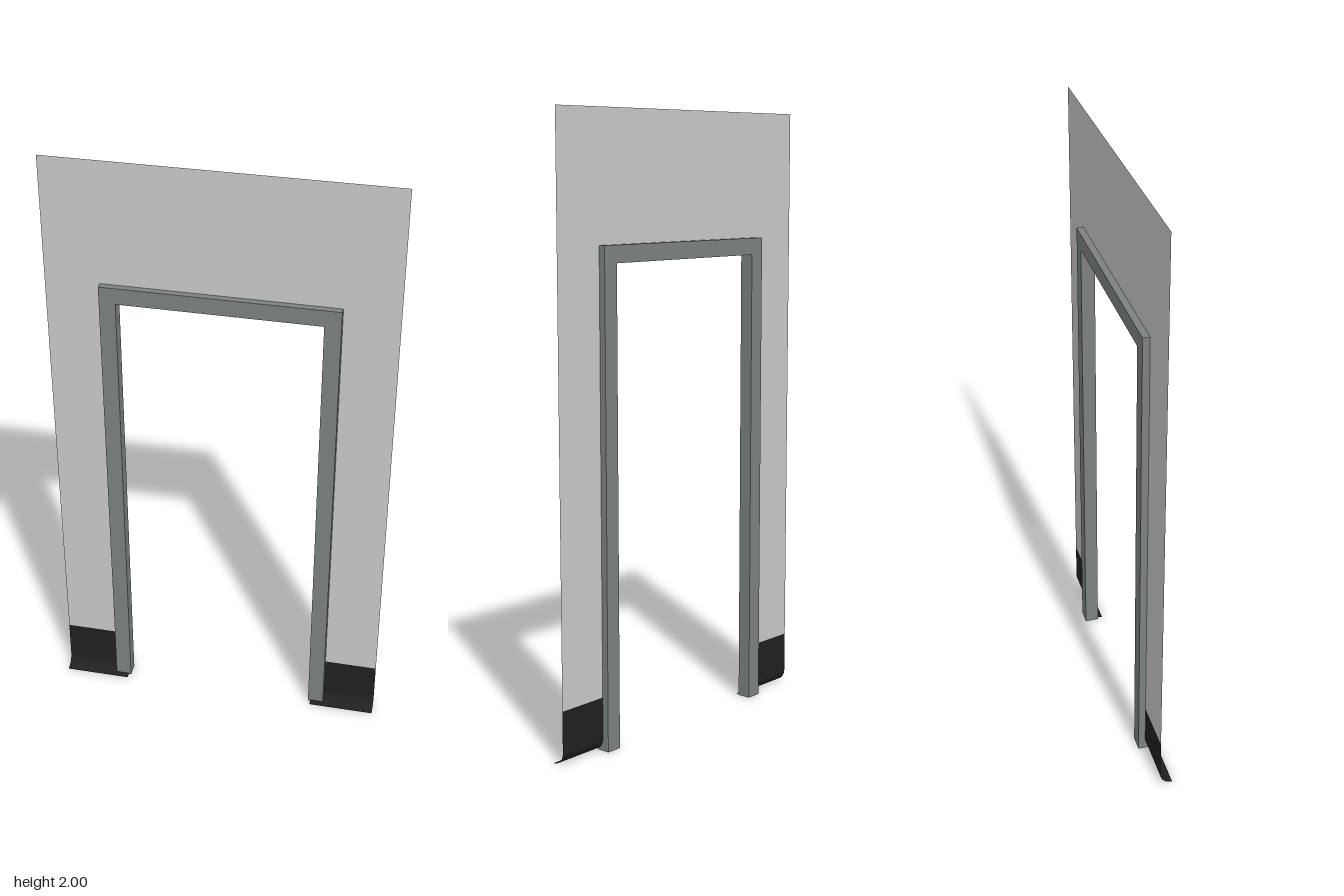
import * as THREE from 'three';

const material = (name, color) =>
  new THREE.MeshStandardMaterial({ name, color, side: THREE.DoubleSide });

// Wall, frame and opening sizes
const WALL_X = 0.555, WALL_TOP = 2, BASE_TOP = 0.175;
const OUT_X = 0.378, OUT_TOP = 1.59, IN_X = 0.325, IN_TOP = 1.535;
const HIDDEN_X = 0.333, HIDDEN_TOP = 1.543; // wall edge buried in the frame
const DEPTH = 0.046, WALL_Z = -0.01, TOE_Z = 0.031;

// Inverted U outline standing on y = bottom
function archShape(outX, outTop, inX, inTop, bottom) {
  return new THREE.Shape([
    [-outX, bottom], [-inX, bottom], [-inX, inTop], [inX, inTop],
    [inX, bottom], [outX, bottom], [outX, outTop], [-outX, outTop],
  ].map(([x, y]) => new THREE.Vector2(x, y)));
}

// Thin sheet with a concave foot, running between two x positions
function coveGeometry(x0, x1) {
  const r = TOE_Z - WALL_Z, steps = 8;
  const profile = [[BASE_TOP, WALL_Z]];
  for (let i = 0; i <= steps; i++) {
    const a = (i / steps) * Math.PI / 2;
    profile.push([r - r * Math.sin(a), TOE_Z - r * Math.cos(a)]);
  }
  const positions = [], indices = [];
  profile.forEach(([y, z], i) => {
    positions.push(x0, y, z, x1, y, z);
    if (i) {
      const k = 2 * i;
      indices.push(k - 2, k, k - 1, k - 1, k, k + 1);
    }
  });
  const geometry = new THREE.BufferGeometry();
  geometry.setAttribute('position', new THREE.Float32BufferAttribute(positions, 3));
  geometry.setIndex(indices);
  geometry.computeVertexNormals();
  return geometry;
}

export function createModel() {
  const group = new THREE.Group();
  group.name = 'doorwayWall';
  const wallPaint = material('wallGrey', 0xcacaca);
  const framePaint = material('frameGrey', 0x7c8280);
  const rubber = material('baseBlack', 0x202020);

  const add = (name, geometry, mat) => {
    const mesh = new THREE.Mesh(geometry, mat);
    mesh.name = name;
    group.add(mesh);
    return mesh;
  };

  // Sheet wall around the opening, above the base
  add('wall', new THREE.ShapeGeometry(
    archShape(WALL_X, WALL_TOP, HIDDEN_X, HIDDEN_TOP, BASE_TOP)), wallPaint).position.z = WALL_Z;

  // Door frame straddling the wall
  add('doorFrame', new THREE.ExtrudeGeometry(
    archShape(OUT_X, OUT_TOP, IN_X, IN_TOP, 0),
    { depth: DEPTH, bevelEnabled: false }), framePaint).position.z = WALL_Z - DEPTH / 2;

  // Coved base on both sides of the doorway
  add('rightBase', coveGeometry(-WALL_X, -HIDDEN_X), rubber);
  add('leftBase', coveGeometry(HIDDEN_X, WALL_X), rubber);

  return group;
}
